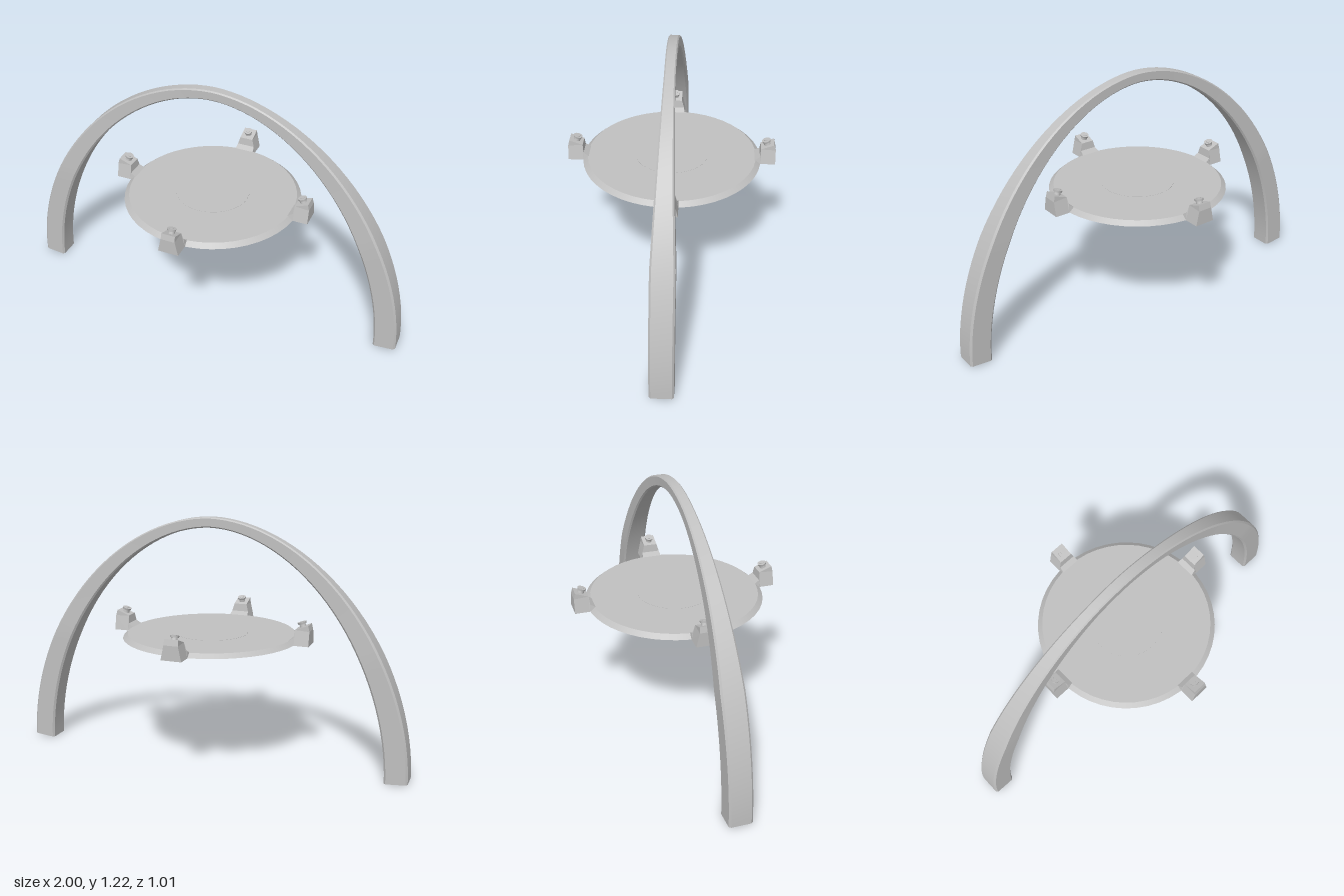
import * as THREE from 'three';

const grey = new THREE.MeshStandardMaterial({ color: 0xc0c0c0, side: THREE.DoubleSide });
grey.name = 'plain grey';

// Point on a slightly flattened half ellipse, t from 0 (left foot) to 1 (right foot)
function bow(a, b, t) {
  const n = 1.87, c = Math.cos(Math.PI * t), s = Math.sin(Math.PI * t);
  return [Math.sign(c) * a * Math.abs(c) ** (2 / n), b * Math.max(s, 0) ** (2 / n)];
}

// Chamfered section at t: the band is deeper and wider at the feet than at the crown
function archSection(t) {
  const [ox, oy] = bow(1.0, 1.205, t), [ix, iy] = bow(0.888, 1.165, t);
  const lift = 0.01;
  const outer = new THREE.Vector2(ox, oy + lift);
  const inner = new THREE.Vector2(ix, iy);
  const k = THREE.MathUtils.clamp((outer.y - 0.6) / 0.58, 0, 1);
  const w = THREE.MathUtils.lerp(0.056, 0.026, k);
  const c = THREE.MathUtils.lerp(0.009, 0.006, k);
  const depth = outer.distanceTo(inner);
  // [fraction from outer edge to inner edge, z]
  const e = c / depth;
  return [[0, w - c], [e, w], [1 - e, w], [1, w - c], [1, c - w], [1 - e, -w], [e, -w], [0, c - w]]
    .map(([f, z]) => {
      const p = outer.clone().lerp(inner, f);
      return [p.x, p.y, z];
    });
}

// Each side of the band is its own strip: smooth lengthwise, sharp at the chamfers
function archGeometry(segments) {
  const pos = [], index = [];
  const rings = [];
  for (let i = 0; i <= segments; i++) rings.push(archSection(i / segments));
  for (let side = 0; side < 8; side++) {
    const base = pos.length / 3;
    for (const r of rings) pos.push(...r[side], ...r[(side + 1) % 8]);
    for (let i = 0; i < segments; i++) {
      const a = base + i * 2;
      index.push(a, a + 2, a + 1, a + 1, a + 2, a + 3);
    }
  }
  const g = new THREE.BufferGeometry();
  g.setAttribute('position', new THREE.Float32BufferAttribute(pos, 3));
  g.setIndex(index);
  g.computeVertexNormals();
  return g;
}

// Bracket: a side profile extruded across, then narrowed towards the top
function bracketGeometry() {
  const profile = [[0.405, 0.65], [0.434, 0.63], [0.505, 0.63], [0.505, 0.7], [0.498, 0.728],
    [0.434, 0.704], [0.43, 0.666]].map(([r, y]) => new THREE.Vector2(r, y));
  const g = new THREE.ExtrudeGeometry(new THREE.Shape(profile), { depth: 0.1, bevelEnabled: false });
  g.translate(0, 0, -0.05);
  const p = g.attributes.position;
  for (let i = 0; i < p.count; i++) {
    const k = THREE.MathUtils.clamp((p.getY(i) - 0.645) / 0.06, 0, 1);
    p.setZ(i, p.getZ(i) * (1 - 0.33 * k));
  }
  g.computeVertexNormals();
  return g;
}

export function createModel() {
  const model = new THREE.Group();
  model.name = 'archWithPlatform';
  const add = (parent, name, geometry) => {
    const mesh = new THREE.Mesh(geometry, grey);
    mesh.name = name;
    parent.add(mesh);
    return mesh;
  };

  add(model, 'arch', archGeometry(64));

  // Round platform with a sloping rim
  const platform = new THREE.CylinderGeometry(0.412, 0.435, 0.02, 48);
  add(model, 'platform', platform).position.y = 0.64;
  const centre = new THREE.CylinderGeometry(0.18, 0.18, 0.001, 48);
  add(model, 'platformCentre', centre).position.y = 0.6505;

  // Four brackets round the rim, each with a tilted button
  const bracket = bracketGeometry();
  for (let i = 0; i < 4; i++) {
    const holder = new THREE.Group();
    holder.name = 'bracket' + (i + 1);
    holder.rotation.y = i * Math.PI / 2;
    add(holder, 'bracketBody', bracket);
    const button = new THREE.Group();
    button.name = 'button';
    button.position.set(0.465, 0.715, 0);
    button.rotation.z = 0.3;
    add(button, 'buttonStem', new THREE.CylinderGeometry(0.014, 0.016, 0.016, 12)).position.y = 0.008;
    add(button, 'buttonCap', new THREE.CylinderGeometry(0.022, 0.02, 0.01, 12)).position.y = 0.019;
    add(button, 'buttonTop', new THREE.CylinderGeometry(0.01, 0.01, 0.002, 12)).position.y = 0.025;
    holder.add(button);
    model.add(holder);
  }
  return model;
}
